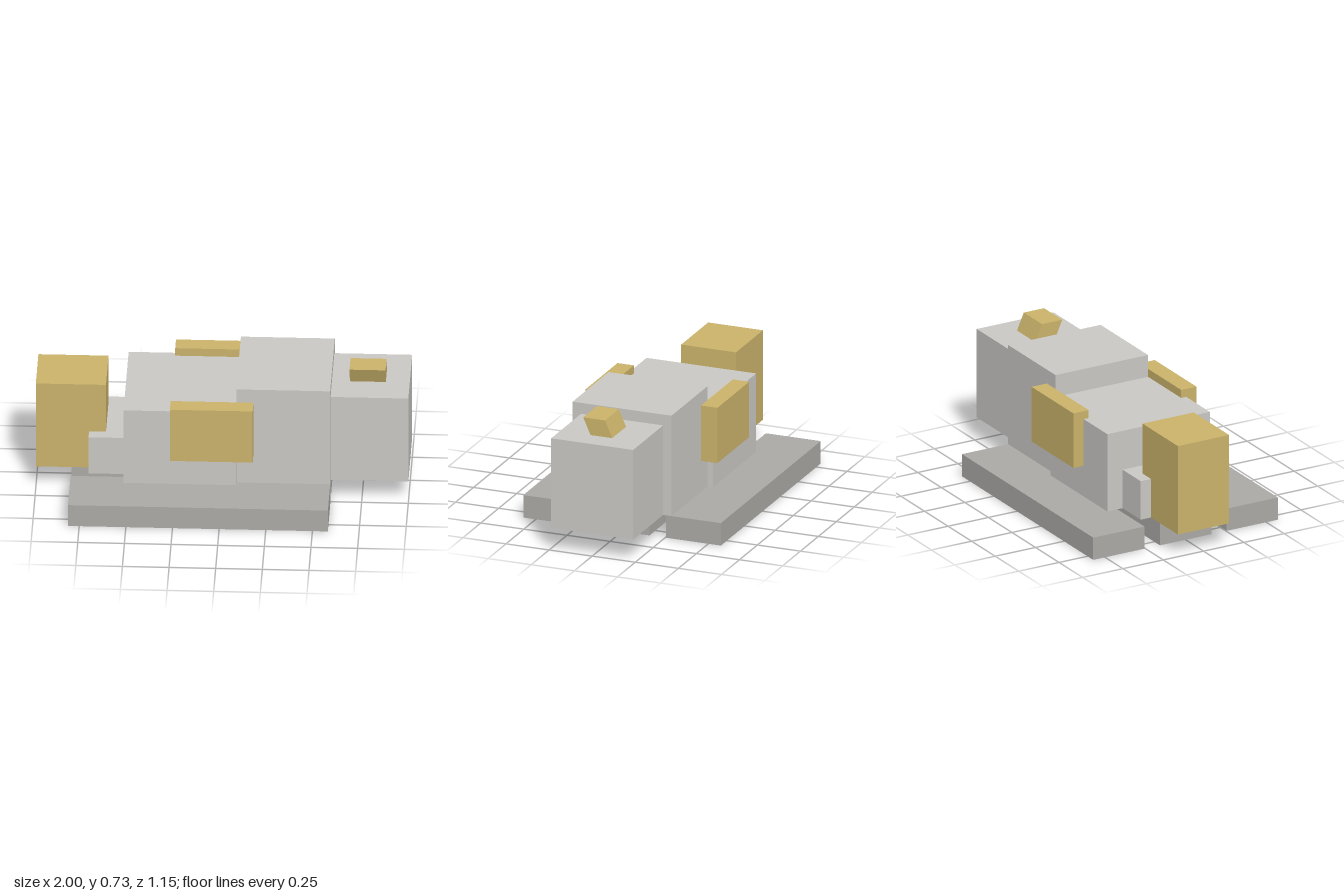
import * as THREE from 'three';

export function createModel() {
  const model = new THREE.Group();
  model.name = 'blockMachine';

  const material = (name, color) => {
    const m = new THREE.MeshStandardMaterial({ color });
    m.name = name;
    return m;
  };
  const lightGrey = material('lightGrey', 0xc9c7c3);
  const darkGrey = material('darkGrey', 0xaaa9a5);
  const gold = material('gold', 0xc9b26a);

  // Box given by its extents on each axis
  const block = (name, mat, [x0, x1], [y0, y1], [z0, z1]) => {
    const mesh = new THREE.Mesh(new THREE.BoxGeometry(x1 - x0, y1 - y0, z1 - z0), mat);
    mesh.position.set((x0 + x1) / 2, (y0 + y1) / 2, (z0 + z1) / 2);
    mesh.name = name;
    model.add(mesh);
    return mesh;
  };

  // Three base rails
  const base = 0.128;
  for (const [name, z] of [['leftRail', -0.414], ['centreRail', 0], ['rightRail', 0.414]]) {
    block(name, darkGrey, [-0.81, 0.583], [0, base], [z - 0.159, z + 0.159]);
  }

  // Stepped body, from the low neck to the end block
  block('neck', lightGrey, [-0.715, -0.523], [base, 0.35], [-0.223, 0.223]);
  block('midBody', lightGrey, [-0.523, 0.08], [base, 0.574], [-0.318, 0.318]);
  block('tallBody', lightGrey, [0.08, 0.583], [base, 0.7], [-0.287, 0.287]);
  block('endBlock', lightGrey, [0.583, 1], [base, 0.638], [-0.238, 0.238]);

  // Gold tower at the opposite end
  block('tower', gold, [-1, -0.624], [base, 0.638], [-0.159, 0.159]);

  // Gold panels on both flanks
  block('frontPanel', gold, [-0.272, 0.172], [0.305, 0.62], [0.287, 0.382]);
  block('backPanel', gold, [-0.272, 0.172], [0.305, 0.62], [-0.382, -0.287]);

  // Slanted handle: a box sheared towards the front
  const handle = block('handle', gold, [0.679, 0.872], [0.638, 0.733], [-0.063, 0.063]);
  handle.geometry.applyMatrix4(new THREE.Matrix4().makeShear(0, 0, 0, 0.43, 0, 0));
  const p = handle.geometry.attributes.position;
  // Keep the foot centred and lean only the top edge
  const box = new THREE.BoxGeometry(0.193, 0.095, 0.126);
  for (let i = 0; i < p.count; i++) {
    const q = box.attributes.position;
    p.setXYZ(i, q.getX(i), q.getY(i), q.getZ(i) + (q.getY(i) > 0 ? 0.042 : 0));
  }
  handle.geometry.computeVertexNormals();

  return model;
}
